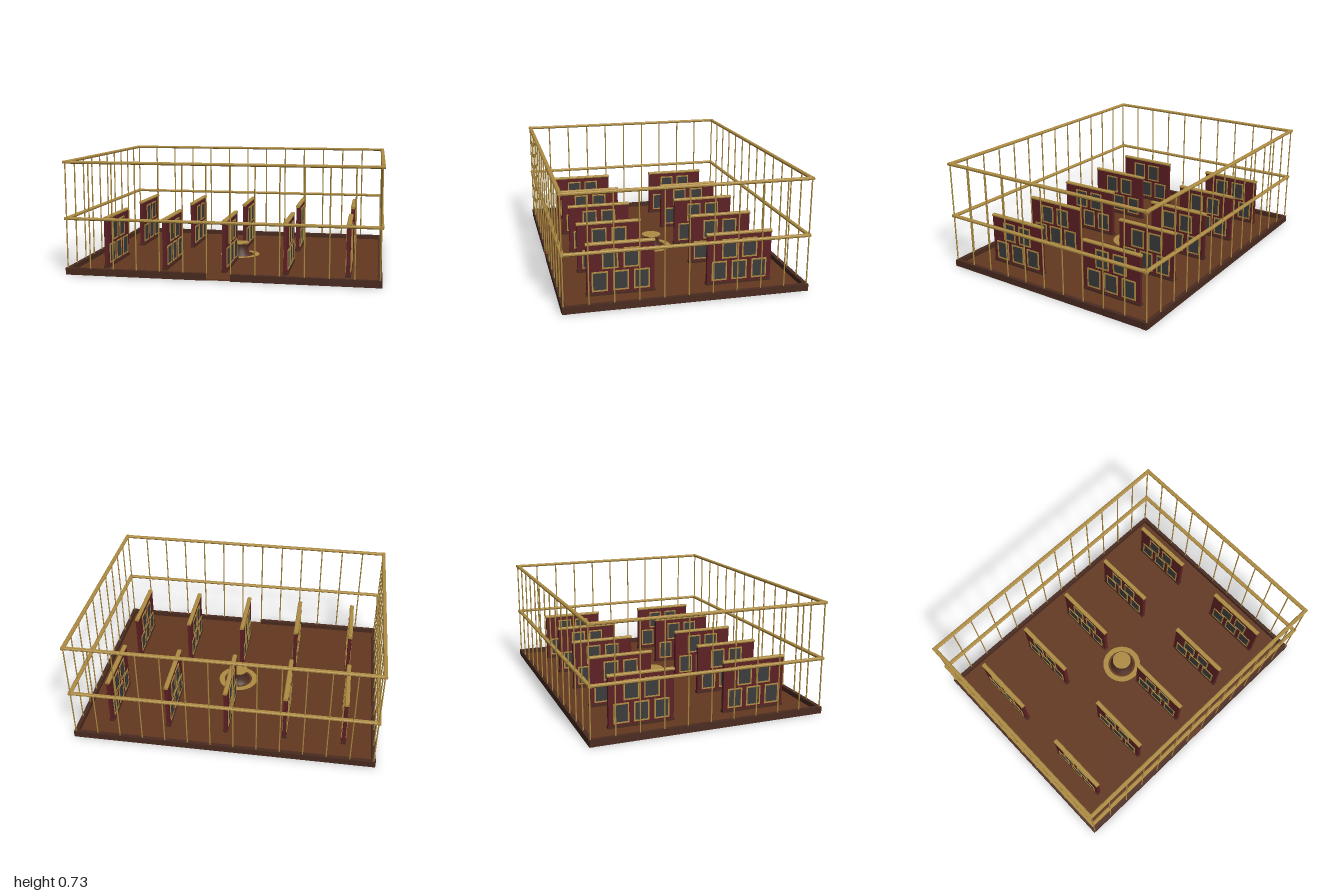
import * as THREE from 'three';

const mat = (name, color, side = THREE.FrontSide) => {
  const m = new THREE.MeshStandardMaterial({ color, side });
  m.name = name;
  return m;
};

export function createModel() {
  const gold = mat('brass', 0xae8c42);
  const floorBrown = mat('floorWood', 0x643820);
  const darkBrown = mat('darkWood', 0x4a2b20);
  const red = mat('deepRed', 0x5e2024);
  const glass = mat('darkGlass', 0x3b3c3b);

  const root = new THREE.Group();
  root.name = 'galleryDeck';

  const add = (parent, name, geo, material, x = 0, y = 0, z = 0) => {
    const mesh = new THREE.Mesh(geo, material);
    mesh.name = name;
    mesh.position.set(x, y, z);
    parent.add(mesh);
    return mesh;
  };
  const box = (w, h, d) => new THREE.BoxGeometry(w, h, d);

  // Bar along z with chamfered long edges, centred on the origin
  const bar = (w, h, length, c = 0.005) => {
    const a = w / 2, b = h / 2;
    const shape = new THREE.Shape([
      [-a + c, -b], [a - c, -b], [a, -b + c], [a, b - c],
      [a - c, b], [-a + c, b], [-a, b - c], [-a, -b + c],
    ].map(([x, y]) => new THREE.Vector2(x, y)));
    return new THREE.ExtrudeGeometry(shape, { depth: length, bevelEnabled: false })
      .translate(0, 0, -length / 2);
  };

  // Floor
  add(root, 'floor', box(1.96, 0.01, 1.5), floorBrown, 0, 0.008, 0);
  add(root, 'entranceSill', box(0.152, 0.01, 0.03), floorBrown, 0, 0.008, 0.752);

  // Perimeter: kerb segments and posts on a regular pitch
  const pitch = 0.1516, nx = 13, nz = 10;
  const hx = pitch * nx / 2, hz = pitch * nz / 2;
  const kerbH = 0.044, railTop = 0.73;
  const postGeo = new THREE.CylinderGeometry(0.0045, 0.0045, railTop - 0.012, 8);
  const post = (x, z) => add(root, 'post', postGeo, gold, x, railTop / 2, z);
  for (const s of [-1, 1]) {
    for (let i = 0; i <= nx; i++) {
      post(-hx + i * pitch, s * hz);
      // The middle front segment is left out as the entrance
      if (i < nx && !(s === 1 && i === 6)) {
        add(root, 'kerb', box(pitch, kerbH, 0.026), darkBrown,
          -hx + (i + 0.5) * pitch, kerbH / 2, s * (hz - 0.003));
      }
    }
    for (let i = 0; i <= nz; i++) {
      if (i > 0 && i < nz) post(s * hx, -hz + i * pitch);
      if (i < nz) {
        add(root, 'kerb', box(0.026, kerbH, pitch), darkBrown,
          s * (hx - 0.001), kerbH / 2, -hz + (i + 0.5) * pitch);
      }
    }
    for (const sz of [-1, 1]) {
      add(root, 'cornerKerb', box(0.03, kerbH, 0.03), darkBrown,
        s * 0.984, kerbH / 2, sz * 0.752);
    }
  }

  // Handrail and top rail
  for (const y of [0.363, 0.722]) {
    for (const s of [-1, 1]) {
      add(root, 'sideRail', bar(0.026, 0.018, 1.534), gold, s * 0.987, y, 0);
      const r = add(root, 'longRail', bar(0.026, 0.018, 1.998), gold, 0, y, s * 0.755);
      r.rotation.y = Math.PI / 2;
    }
  }

  // Window: a raised frame that passes through the panel, glazed on both faces
  const winW = 0.1, winH = 0.128, t = 0.009, frameD = 0.034;
  const rect = (Type, w, h) => new Type([
    new THREE.Vector2(-w / 2, -h / 2), new THREE.Vector2(w / 2, -h / 2),
    new THREE.Vector2(w / 2, h / 2), new THREE.Vector2(-w / 2, h / 2),
  ]);
  const frameShape = rect(THREE.Shape, winW, winH);
  frameShape.holes.push(rect(THREE.Path, winW - 2 * t, winH - 2 * t));
  const frameGeo = new THREE.ExtrudeGeometry(frameShape, { depth: frameD, bevelEnabled: false })
    .translate(0, 0, -frameD / 2).rotateY(Math.PI / 2);
  const glassGeo = box(0.028, winH - 2 * t, winW - 2 * t);

  const windows = [
    [-0.131, 0.104], [0, 0.104], [0.131, 0.104],
    [-0.066, 0.248], [0.066, 0.248],
  ];
  const capGeo = bar(0.03, 0.018, 0.43);

  const partition = (x, z) => {
    const g = new THREE.Group();
    g.name = 'partition';
    g.position.set(x, 0, z);
    add(g, 'plinth', box(0.034, 0.028, 0.43), darkBrown, 0, 0.014, 0);
    add(g, 'panel', box(0.024, 0.32, 0.422), red, 0, 0.178, 0);
    add(g, 'cap', capGeo, gold, 0, 0.343, 0);
    for (const [wz, wy] of windows) {
      add(g, 'windowFrame', frameGeo, gold, 0, wy, wz);
      add(g, 'windowGlass', glassGeo, glass, 0, wy, wz);
    }
    root.add(g);
  };
  for (let i = -2; i <= 2; i++) {
    for (const s of [-1, 1]) partition(i * 0.394, s * 0.38);
  }

  // Central pedestal table standing on an inlaid ring
  const table = new THREE.Group();
  table.name = 'pedestalTable';
  root.add(table);
  const ring = add(table, 'floorRing', new THREE.RingGeometry(0.1, 0.139, 32), gold, 0, 0.0145, 0);
  ring.rotation.x = -Math.PI / 2;
  const profile = [[0, 0], [0.085, 0], [0.085, 0.014], [0.068, 0.022], [0.057, 0.048], [0.046, 0.084], [0.062, 0.092]];
  const body = add(table, 'pedestal',
    new THREE.LatheGeometry(profile.map(([r, y]) => new THREE.Vector2(r, y)), 24), darkBrown);
  body.name = 'pedestal';
  add(table, 'tableTop', new THREE.CylinderGeometry(0.067, 0.063, 0.008, 24), gold, 0, 0.096, 0);

  return root;
}
